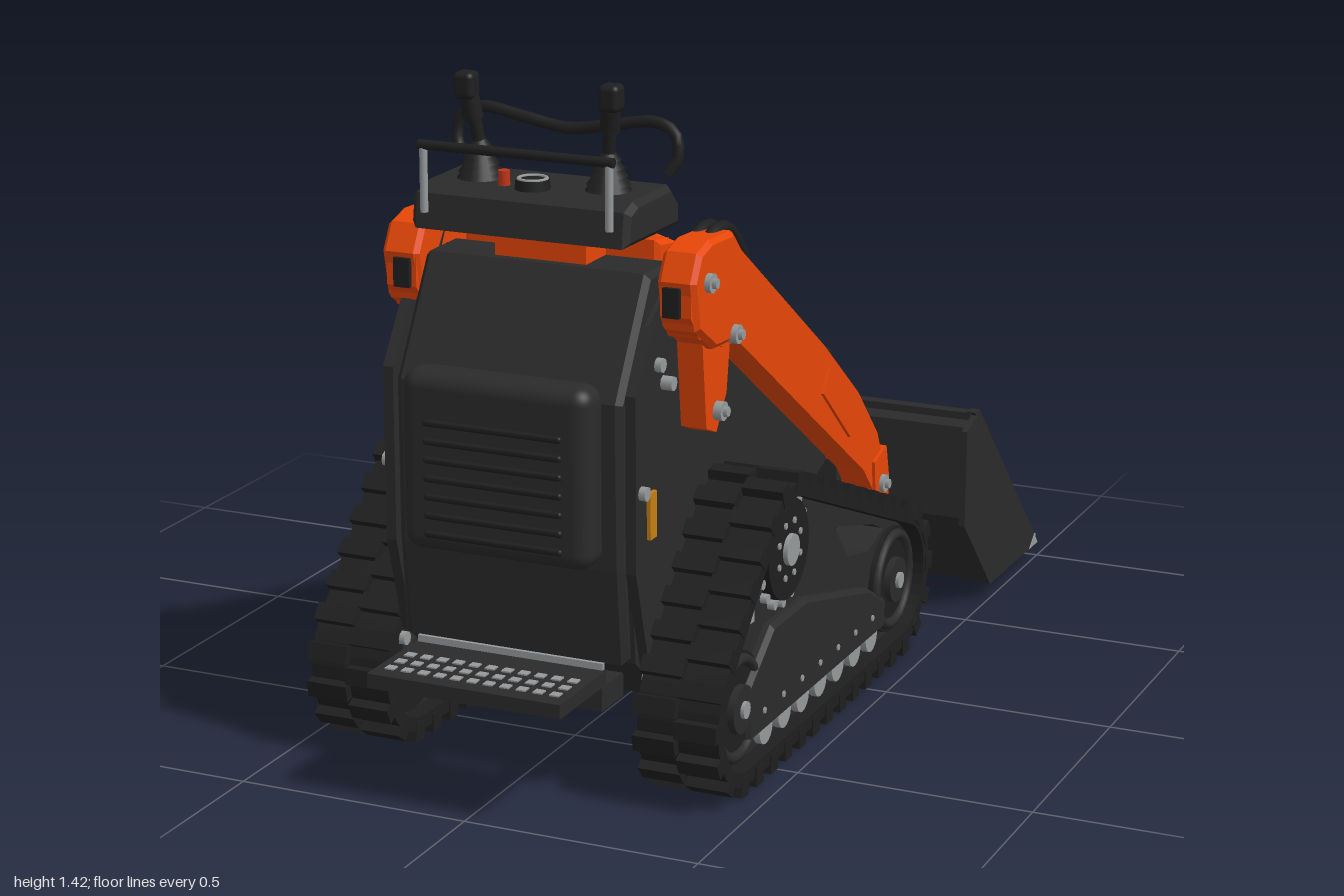
import * as THREE from 'three';
import { mergeGeometries } from 'three/addons/utils/BufferGeometryUtils.js';
import { RoundedBoxGeometry } from 'three/addons/geometries/RoundedBoxGeometry.js';

const mat = (name, color) => Object.assign(new THREE.MeshStandardMaterial({ color }), { name });

export function createModel() {
  const root = new THREE.Group();
  const orange = mat('orange paint', 0xe64607), dark = mat('charcoal paint', 0x2b2b2b);
  const rubber = mat('black rubber', 0x1f1f1f), steel = mat('steel', 0x96999b);
  const amber = mat('amber reflector', 0xc47d12), red = mat('red knob', 0xc0351a);

  const add = (name, geo, m, x = 0, y = 0, z = 0, parent = root) => {
    const mesh = new THREE.Mesh(geo, m);
    mesh.name = name;
    mesh.position.set(x, y, z);
    parent.add(mesh);
    return mesh;
  };
  const box = (name, m, w, h, d, x, y, z) => add(name, new THREE.BoxGeometry(w, h, d), m, x, y, z);
  const vecs = pts => pts.map(p => new THREE.Vector2(p[0], p[1]));
  const shape = (pts, hole) => {
    const s = new THREE.Shape(vecs(pts));
    if (hole) s.holes.push(new THREE.Path(vecs(hole)));
    return s;
  };
  // Side profile of [z, y] points, extruded across x and centred; optional chamfer on both ends
  const slab = (s, width, chamfer = 0) => {
    const g = new THREE.ExtrudeGeometry(Array.isArray(s) ? shape(s) : s, {
      depth: width - 2 * chamfer, bevelEnabled: chamfer > 0, bevelThickness: chamfer,
      bevelSize: chamfer, bevelOffset: -chamfer, bevelSegments: 1 });
    return g.translate(0, 0, -width / 2 + chamfer).rotateY(-Math.PI / 2);
  };
  const axle = (r, len, seg = 24) => new THREE.CylinderGeometry(r, r, len, seg).rotateZ(Math.PI / 2);
  const tube = (name, m, pts, r) => add(name, new THREE.TubeGeometry(
    new THREE.CatmullRomCurve3(pts.map(p => new THREE.Vector3(...p))), 32, r, 8), m);
  const rod = (name, m, a, b, r) => {
    const va = new THREE.Vector3(...a), d = new THREE.Vector3(...b).sub(va);
    const mesh = add(name, new THREE.CylinderGeometry(r, r, d.length(), 16), m);
    mesh.position.copy(va).addScaledVector(d, 0.5);
    mesh.quaternion.setFromUnitVectors(new THREE.Vector3(0, 1, 0), d.normalize());
  };

  // ---- Chassis and operator panel
  add('chassis', slab([[.75, .28], [.77, .5], [.77, .82], [.69, .95], [.55, 1.04], [.45, 1.0], [-.2, .56],
    [-.25, .42], [-.02, .34], [.1, .16], [.6, .16]], .51), dark);
  add('operatorPanel', slab([[.77, .28], [.79, .48], [.795, .82], [.66, 1.05], [.55, 1.05], [.6, .28]], .49, .012), dark);
  add('kneePad', new RoundedBoxGeometry(.41, .37, .09, 4, .035), dark, 0, .675, .815);
  for (let i = 0; i < 7; i++) add('padRib', new RoundedBoxGeometry(.3, .014, .014, 2, .006), rubber, 0, .53 + i * .038, .86);
  for (const s of [-1, 1]) {
    add('sideFlange', slab([[.73, .27], [.79, .48], [.79, .84], [.71, .96], [.66, .94], [.7, .8], [.7, .27]], .022), dark, s * .264);
    box('reflector', amber, .009, .095, .03, s * .279, .585, .725);
    for (const [y, z] of [[.88, .69], [.83, .64], [.64, .765], [.25, .73]])
      add('panelBolt', axle(.015, .024, 8), steel, s * .277, y, z);
    box('stepBracket', dark, .06, .05, .1, s * .17, .21, .74);
  }

  // ---- Step with perforated deck
  box('step', dark, .42, .03, .21, 0, .26, .895);
  box('stepTrim', steel, .41, .014, .008, 0, .282, .793);
  for (let r = 0; r < 3; r++) for (let c = 0; c < 11; c++)
    box('stepGrip', steel, .02, .004, .02, (c - 5) * .036, .276, .875 + r * .04);

  // ---- Hood
  add('hoodBase', slab([[.5, 1.04], [-.03, .735], [-.06, .69], [-.18, .66], [-.26, .56], [-.27, .42], [-.2, .42], [.4, .86]], .48, .02), orange);
  const lid = shape([[-.18, 0], [.18, 0], [.22, .08], [.24, .57], [.21, .6], [-.21, .6], [-.24, .57], [-.22, .08]],
    [[-.1, .11], [.1, .11], [.09, .37], [-.09, .37]]);
  const lidGroup = new THREE.Group();
  lidGroup.name = 'hoodLid';
  lidGroup.position.set(0, 1.055, .49);
  lidGroup.rotation.x = -Math.PI / 2 - .522;
  root.add(lidGroup);
  add('lidPanel', new THREE.ExtrudeGeometry(lid, { depth: .02, bevelThickness: .018, bevelSize: .018, bevelOffset: -.018, bevelSegments: 1 }), orange, 0, 0, 0, lidGroup);
  add('hoodHandle', new THREE.BoxGeometry(.2, .035, .02), dark, 0, .055, .042, lidGroup);
  add('handleTrim', new THREE.BoxGeometry(.16, .014, .008), steel, 0, .055, .052, lidGroup);
  for (let r = 0; r < 3; r++) for (let c = 0; c < 5; c++)
    add('ventSlot', new THREE.BoxGeometry(.018, .008, .006), rubber, (c - 2) * .027, .135 + r * .025, -.016, lidGroup);
  for (const s of [-1, 1]) for (let i = 0; i < 5; i++)
    add('lidSlot', new THREE.BoxGeometry(.005, .018, .004), rubber, s * .1, .4 + i * .04, .038, lidGroup);

  // ---- Lift arms, pivots and hoses
  const armProfile = [[.66, 1.04], [.63, 1.09], [.58, 1.105], [.46, 1.1], [.41, 1.05], [-.04, .74], [-.24, .585], [-.36, .46],
    [-.41, .36], [-.4, .22], [-.35, .21], [-.34, .33], [-.28, .395], [.43, .87], [.5, .875], [.62, .92], [.66, .97]];
  const pivotProfile = [[.665, 1.04], [.635, 1.095], [.58, 1.11], [.47, 1.105], [.43, 1.04], [.43, .92], [.48, .88], [.56, .885], [.645, .94]];
  for (const s of [-1, 1]) {
    add('liftArm', slab(armProfile, .066), orange, s * .3);
    add('pivotCover', slab(pivotProfile, .082, .01), orange, s * .302);
    add('pivotBracket', slab([[.58, .9], [.44, .9], [.46, .77], [.51, .7], [.56, .72]], .055), orange, s * .295);
    add('armPlate', slab([[-.02, .64], [-.06, .69], [-.22, .56], [-.18, .5]], .008), orange, s * .336);
    add('armFoot', slab([[-.33, .4], [-.4, .42], [-.42, .34], [-.41, .23], [-.37, .2], [-.34, .23]], .08), orange, s * .3);
    box('hoseClamp', rubber, .035, .06, .02, s * .295, 1, .662);
    for (const [y, z, x] of [[1.03, .6, .345], [.895, .47, .345], [.745, .51, .33], [.34, -.375, .34]]) {
      add('pinHead', axle(.02, .02, 12), steel, s * x, y, z);
      add('pinCap', axle(.011, .018, 6), steel, s * (x + .01), y, z);
    }
    for (const k of [0, 1]) tube('armHose', rubber, [[s * (.27 + k * .03), .98, .6], [s * (.275 + k * .03), 1.09, .52],
      [s * (.275 + k * .03), 1.1, .43], [s * (.275 + k * .03), 1.03, .35], [s * (.275 + k * .03), .94, .3]], .014);
    add('tiltLug', slab([[-.14, .56], [-.15, .65], [-.19, .67], [-.24, .6], [-.34, .5], [-.34, .44], [-.24, .44]], .015), orange, s * .07);
  }
  box('crossBeam', orange, .6, .1, .075, 0, .46, -.32);

  // ---- Tilt cylinder and bucket mount
  rod('tiltCylinder', dark, [0, .63, -.19], [0, .5, -.36], .034);
  rod('tiltRod', steel, [0, .5, -.36], [0, .4, -.45], .016);
  add('tiltPin', axle(.018, .16, 12), steel, 0, .62, -.2);
  box('mountBar', dark, .42, .14, .035, 0, .36, -.435);
  box('mountBlock', dark, .17, .12, .07, 0, .36, -.42);
  for (const s of [-1, 1]) {
    box('mountEar', dark, .035, .14, .07, s * .2, .36, -.445);
    box('mountLeg', dark, .035, .13, .04, s * .2, .24, -.42);
  }
  add('mountPivot', axle(.022, .6, 16), dark, 0, .26, -.385);

  // ---- Auxiliary coupler block on the model's left
  box('couplerBlock', steel, .05, .165, .025, .19, .56, -.335);
  box('couplerStand', dark, .04, .12, .02, .19, .47, -.315);
  for (const y of [.505, .56, .615]) {
    rod('coupler', steel, [.19, y, -.34], [.19, y, -.385], .015);
    rod('couplerCap', rubber, [.19, y, -.38], [.19, y, -.405], .015);
    tube('couplerHose', rubber, [[.19, y, -.32], [.17, y + .02, -.28], [.15, y - .03, -.24], [.15, .5, -.22]], .009);
  }
  tube('capTether', red, [[.2, .56, -.4], [.23, .54, -.42], [.23, .51, -.42], [.2, .5, -.4]], .003);
  box('releaseLever', red, .06, .014, .014, -.2, .52, -.375);

  // ---- Bucket
  add('bucketShell', slab([[-.55, .47], [-.505, .45], [-.495, .24], [-.655, .04], [-.985, .04], [-.97, .055], [-.68, .06],
    [-.6, .12], [-.54, .22], [-.515, .32], [-.52, .42], [-.55, .45]], .99), dark);
  for (const s of [-1, 1]) {
    add('bucketSide', slab([[-.55, .475], [-.475, .45], [-.47, .23], [-.655, .036], [-.985, .036], [-.96, .07]], .014), dark, s * .496);
    add('bucketSideRim', slab([[-.53, .48], [-.56, .48], [-.97, .065], [-.94, .06]], .022), dark, s * .49);
    add('edgeCorner', slab([[-.93, .036], [-.99, .036], [-.965, .062]], .006), steel, s * .5015);
  }
  box('bucketTopRim', dark, .98, .025, .03, 0, .465, -.545);
  box('cuttingEdge', steel, .99, .02, .03, 0, .043, -.985);
  add('bucketGusset', slab([[-.475, .25], [-.5, .14], [-.66, .025], [-.75, .025], [-.75, .06], [-.64, .07]], .03), dark);

  // ---- Control console
  add('console', slab([[.74, 1.115], [.73, 1.185], [.69, 1.2], [.53, 1.2], [.49, 1.16], [.49, 1.11]], .47, .012), dark);
  box('consoleNeck', orange, .2, .09, .16, 0, 1.07, .56);
  add('consoleShoulder', slab([[.55, 1.0], [.55, 1.09], [.48, 1.08], [.48, 1.0]], .43, .01), orange);
  for (const s of [-1, 1]) {
    for (let i = 0; i < 5; i++)
      add('leverBoot', new THREE.CylinderGeometry(.036 - i * .006, .05 - i * .006, .018, 20), rubber, s * .14, 1.205 + i * .016, .62);
    rod('lever', rubber, [s * .14, 1.26, .62], [s * .15, 1.36, .635], .013);
    rod('leverGrip', rubber, [s * .148, 1.32, .63], [s * .156, 1.38, .64], .02);
    add('leverTop', new RoundedBoxGeometry(.044, .055, .044, 3, .012), rubber, s * .157, 1.388, .642);
    box('leverButton', red, .024, .026, .006, s * .157, 1.392, .62);
    rod('guardPost', steel, [s * .2, 1.15, .745], [s * .2, 1.285, .745], .008);
  }
  rod('guardBar', rubber, [-.21, 1.285, .745], [.21, 1.285, .745], .01);
  tube('grabBar', rubber, [[-.225, 1.22, .53], [-.242, 1.25, .52], [-.235, 1.3, .515], [-.19, 1.318, .51], [-.1, 1.305, .51], [0, 1.29, .51],
    [.1, 1.305, .51], [.19, 1.318, .51], [.235, 1.3, .515], [.242, 1.25, .52], [.225, 1.22, .53]], .012);
  add('gauge', new THREE.CylinderGeometry(.034, .036, .02, 20), rubber, 0, 1.21, .67);
  add('gaugeRing', new THREE.TorusGeometry(.028, .004, 6, 20).rotateX(Math.PI / 2), steel, 0, 1.22, .67);
  add('ignitionKnob', new THREE.CylinderGeometry(.012, .012, .03, 12), red, -.065, 1.215, .665);

  // ---- Tracks: belt wrapped around two idlers and a raised sprocket
  const wheels = [[-.22, .175, .155], [.64, .175, .155], [.41, .44, .14]];
  const wrap = inset => {
    const normal = (a, b) => {
      const dx = b[0] - a[0], dy = b[1] - a[1];
      return Math.atan2(dy, dx) - Math.acos((a[2] - b[2]) / Math.hypot(dx, dy));
    };
    const pts = [];
    wheels.forEach((w, i) => {
      const a0 = normal(wheels[(i + 2) % 3], w);
      let a1 = normal(w, wheels[(i + 1) % 3]);
      while (a1 < a0) a1 += 2 * Math.PI;
      for (let k = 0; k <= 14; k++) {
        const a = a0 + (a1 - a0) * k / 14;
        pts.push([w[0] + (w[2] - inset) * Math.cos(a), w[1] + (w[2] - inset) * Math.sin(a)]);
      }
    });
    return [...pts, pts[0]];
  };
  const beltGeo = slab(shape(wrap(0), wrap(.03)), .175);
  const count = 76, path = shape(wrap(0)).getSpacedPoints(count), lugs = [];
  for (let i = 0; i < count; i++) {
    const p = path[i], q = path[(i + 1) % count], o = path[(i + count - 1) % count];
    lugs.push(new THREE.BoxGeometry(.09, .04, .036).rotateX(-Math.atan2(q.y - o.y, q.x - o.x))
      .translate(i % 2 ? .045 : -.045, p.y, p.x));
  }
  const lugGeo = mergeGeometries(lugs);
  // Side plate fills the belt except for a window behind the front idler
  const frameGeo = slab(shape(wrap(.028), [[.1, .39], [.02, .3], [-.1, .275], [-.19, .3], [-.12, .33]]), .1);
  for (const s of [-1, 1]) {
    const t = new THREE.Group();
    t.name = s > 0 ? 'leftTrack' : 'rightTrack';
    t.position.x = s * .365;
    root.add(t);
    add('trackBelt', beltGeo, rubber, 0, 0, 0, t);
    add('trackLugs', lugGeo, rubber, 0, 0, 0, t);
    add('trackFrame', frameGeo, dark, 0, 0, 0, t);
    add('frameCover', slab([[.6, .085], [.62, .2], [.48, .3], [.3, .3], [-.05, .21], [-.16, .15], [-.15, .085]], .145, .01), dark, 0, 0, 0, t);
    add('trackAxle', axle(.06, .22), dark, -s * .09, .42, .41, t);
    add('frameMount', new THREE.BoxGeometry(.16, .1, .5), dark, -s * .06, .2, .35, t);
    add('tensioner', new THREE.BoxGeometry(.04, .04, .02), steel, s * .045, .355, .575, t);
    for (const [z, y] of wheels.slice(0, 2)) {
      add('idler', axle(.118, .12, 32), rubber, 0, y, z, t);
      add('idlerRim', new THREE.TorusGeometry(.1, .012, 8, 32).rotateY(Math.PI / 2), dark, s * .06, y, z, t);
      add('idlerCover', axle(.05, .15, 20), dark, 0, y, z, t);
      add('idlerHub', axle(.018, .165, 12), steel, 0, y, z, t);
    }
    // Drive sprocket with roller pins and hub bolts
    add('sprocket', axle(.105, .15, 32), rubber, 0, .44, .41, t);
    add('sprocketHub', axle(.033, .17, 20), steel, 0, .44, .41, t);
    for (let i = 0; i < 16; i++) {
      const a = i / 16 * Math.PI * 2;
      add('sprocketPin', axle(.011, .13, 8), steel, 0, .44 + .116 * Math.sin(a), .41 + .116 * Math.cos(a), t);
      if (i % 2) add('hubBolt', axle(.007, .158, 6), steel, 0, .44 + .06 * Math.sin(a), .41 + .06 * Math.cos(a), t);
    }
    for (let i = 0; i < 7; i++) {
      add('roadRoller', axle(.034, .13, 16), steel, 0, .085, .5 - i * .098, t);
      add('frameBolt', axle(.007, .152, 6), steel, 0, .135, .53 - i * .1, t);
    }
  }
  return root;
}
